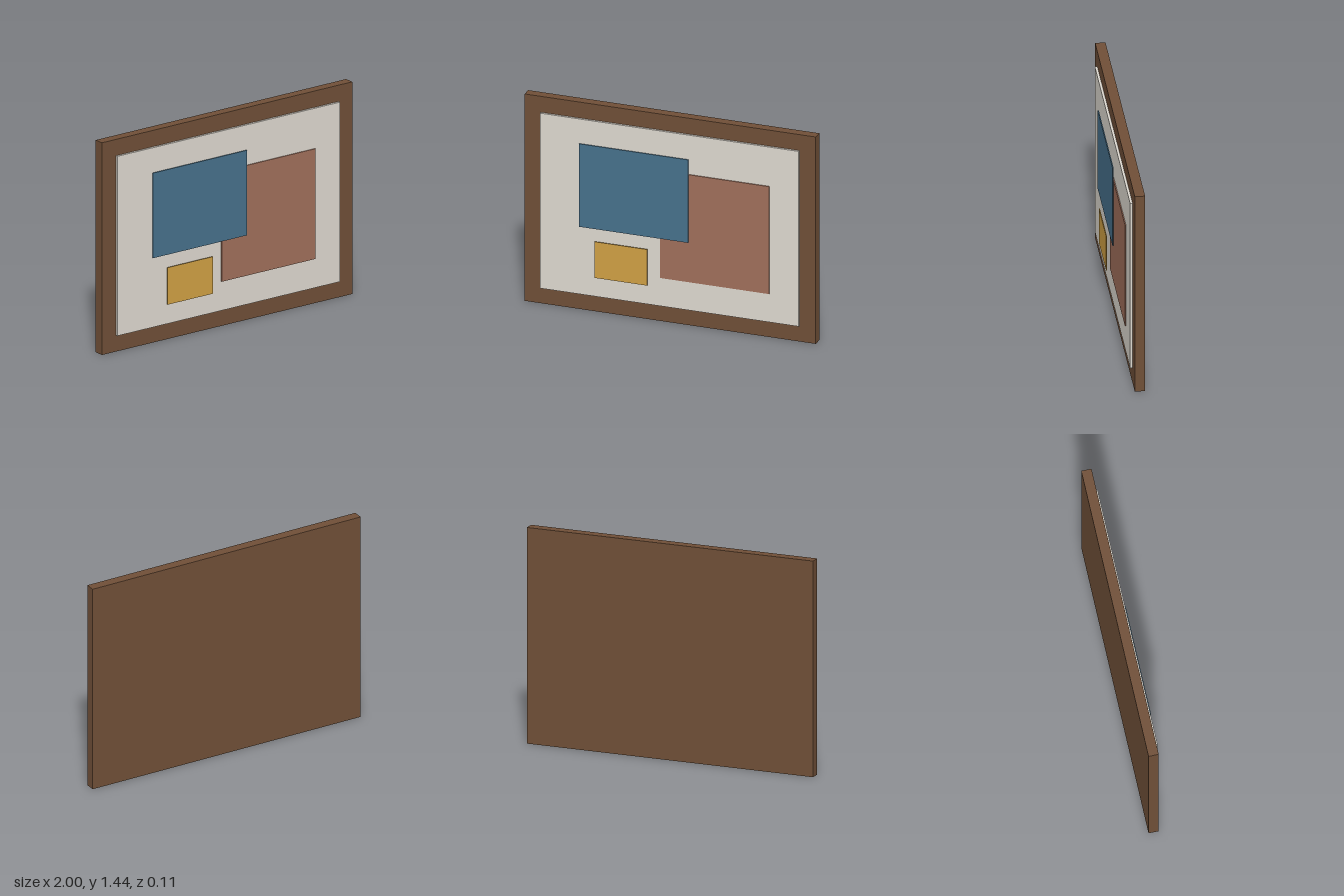
import * as THREE from 'three';

function makeMaterial(name, color) {
  const material = new THREE.MeshStandardMaterial({ color });
  material.name = name;
  return material;
}

export function createModel() {
  const group = new THREE.Group();
  group.name = 'framedPicture';

  // name, colour name, colour, then extents: x0, x1, y0, y1, z0, z1
  const panels = [
    ['frame', 'walnut brown', 0x6f4f37, -1, 1, 0, 1.444, -0.053, 0.014],
    ['canvas', 'warm off-white', 0xded9d0, -0.889, 0.889, 0.111, 1.333, 0.005, 0.03],
    ['rustPanel', 'dusty rust', 0xa06f5b, -0.06, 0.69, 0.31, 1.06, 0.031, 0.038],
    ['bluePanel', 'slate blue', 0x47718c, -0.615, 0.135, 0.588, 1.167, 0.04, 0.047],
    ['ochrePanel', 'ochre yellow', 0xd0a044, -0.505, -0.143, 0.25, 0.502, 0.047, 0.053],
  ];

  // Each layer is a flat slab stacked towards the front
  for (const [name, colorName, color, x0, x1, y0, y1, z0, z1] of panels) {
    const mesh = new THREE.Mesh(
      new THREE.BoxGeometry(x1 - x0, y1 - y0, z1 - z0),
      makeMaterial(colorName, color)
    );
    mesh.name = name;
    mesh.position.set((x0 + x1) / 2, (y0 + y1) / 2, (z0 + z1) / 2);
    group.add(mesh);
  }
  return group;
}
